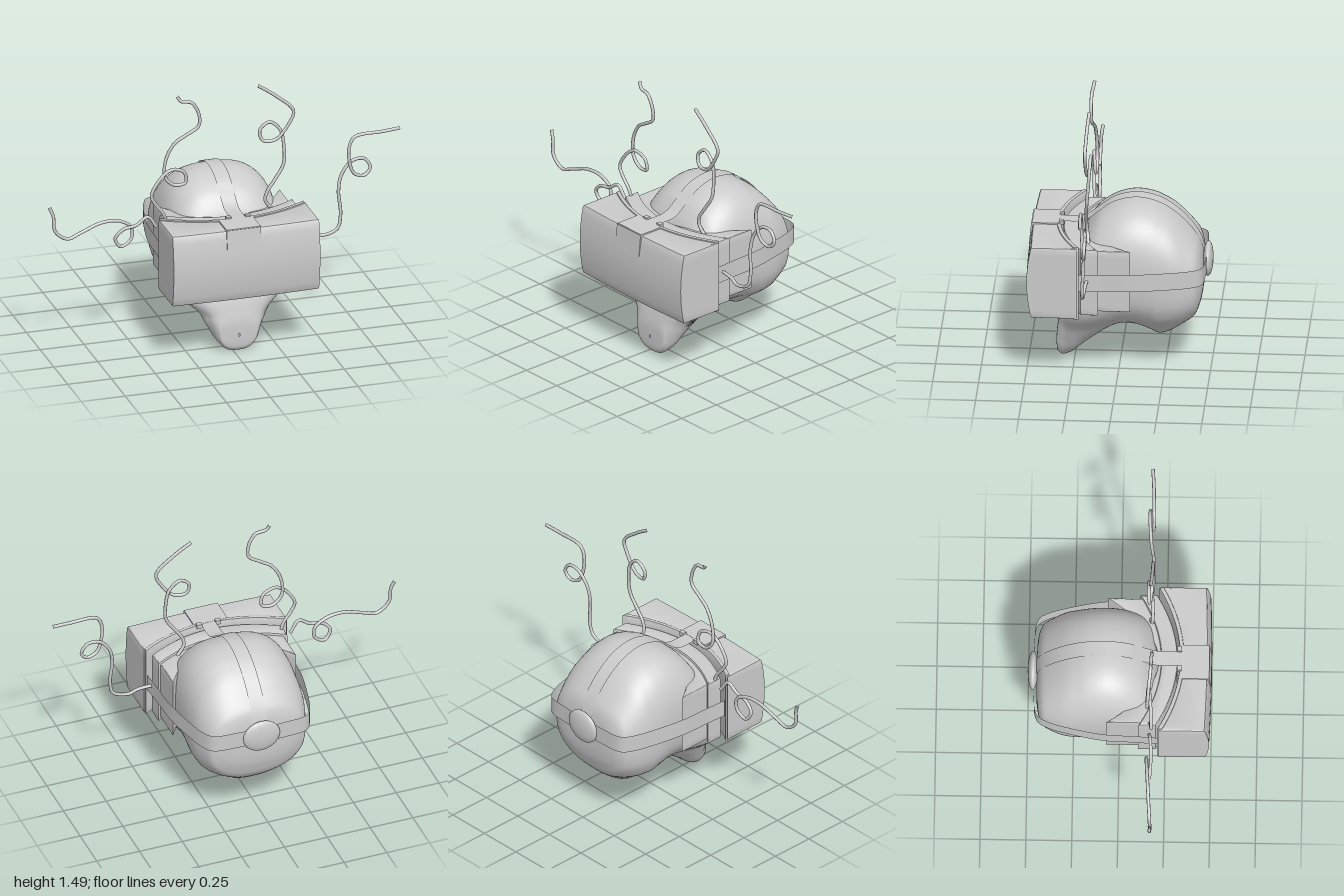
import * as THREE from 'three';
import { toCreasedNormals } from 'three/addons/utils/BufferGeometryUtils.js';

const CX = 0.027; // mid line of head and headset
const mat = new THREE.MeshStandardMaterial({ color: 0xcccccc });
const thin = new THREE.MeshStandardMaterial({ color: 0xcccccc, side: THREE.DoubleSide });

function add(group, name, geo, material = mat) {
  const m = new THREE.Mesh(geo, material);
  m.name = name;
  group.add(m);
  return m;
}

// piecewise linear lookup with eased steps
function lookup(table, v) {
  if (v <= table[0][0]) return table[0][1];
  for (let i = 1; i < table.length; i++) {
    const [a, fa] = table[i - 1], [b, fb] = table[i];
    if (v <= b) return THREE.MathUtils.lerp(fa, fb, THREE.MathUtils.smoothstep(v, a, b) * 0.5 + (v - a) / (b - a) * 0.5);
  }
  return table[table.length - 1][1];
}

// Head: sections along z, each [z, bottom, top, half width]
function headGeometry() {
  const st = [
    [-0.455, 0.5, 0.52, 0.005], [-0.45, 0.41, 0.6, 0.17], [-0.435, 0.34, 0.68, 0.24], [-0.4, 0.265, 0.74, 0.285],
    [-0.3, 0.18, 0.845, 0.32], [-0.22, 0.145, 0.897, 0.327], [-0.16, 0.17, 0.92, 0.328], [-0.08, 0.2, 0.93, 0.327],
    [0, 0.202, 0.915, 0.325], [0.08, 0.165, 0.875, 0.32], [0.14, 0.12, 0.82, 0.315], [0.2, 0.075, 0.71, 0.31],
    [0.26, 0.025, 0.45, 0.28], [0.31, 0, 0.32, 0.23], [0.335, 0.01, 0.23, 0.2], [0.347, 0.035, 0.17, 0.17],
    [0.35, 0.09, 0.11, 0.005],
  ];
  // the jaw and the base of the skull narrow towards the bottom
  const taper = [[0, 0.52], [0.1, 0.57], [0.2, 0.66], [0.3, 0.95], [0.38, 1]];
  const profile = new THREE.CatmullRomCurve3(st.map(s => new THREE.Vector3(s[0], s[1], s[2])), false, 'catmullrom', 0.5);
  const widths = new THREE.CatmullRomCurve3(st.map(s => new THREE.Vector3(s[3], 0, 0)), false, 'catmullrom', 0.4);
  const rings = 96, n = 64, pos = [], idx = [];
  const pw = (v, e) => Math.sign(v) * Math.abs(v) ** e;
  for (let i = 0; i <= rings; i++) {
    const p = profile.getPoint(i / rings), w = widths.getPoint(i / rings).x;
    const mid = (p.y + p.z) / 2, h = (p.z - p.y) / 2;
    for (let j = 0; j < n; j++) {
      const a = j / n * Math.PI * 2;
      const y = mid + h * pw(Math.sin(a), 0.85);
      pos.push(CX + w * lookup(taper, y) * pw(Math.cos(a), 0.7), y, p.x);
      if (i < rings) {
        const k = i * n + j, l = i * n + (j + 1) % n;
        idx.push(k, l, k + n, l, l + n, k + n);
      }
    }
  }
  const g = new THREE.BufferGeometry();
  g.setAttribute('position', new THREE.Float32BufferAttribute(pos, 3));
  g.setIndex(idx);
  g.computeVertexNormals();
  return g;
}

// Upright slab whose back (and front) edges bow forward in plan
function arcSlab(hw, backEdge, backMid, frontEdge, frontMid, y0, y1, bevel = 0.01, bulge = 0) {
  const s = new THREE.Shape();
  s.moveTo(-hw, -frontEdge);
  s.lineTo(-hw, -backEdge);
  s.quadraticCurveTo(0, -(2 * backMid - backEdge), hw, -backEdge);
  s.lineTo(hw, -frontEdge);
  s.quadraticCurveTo(0, -(2 * frontMid - frontEdge), -hw, -frontEdge);
  const g = new THREE.ExtrudeGeometry(s, {
    depth: y1 - y0 - 2 * bevel, steps: 10, curveSegments: 24,
    bevelThickness: bevel, bevelSize: bevel, bevelOffset: -bevel, bevelSegments: 2,
  });
  g.rotateX(-Math.PI / 2).translate(CX, y0 + bevel, 0);
  // the front face also bulges vertically
  const p = g.attributes.position, mid = (y0 + y1) / 2, h = (y1 - y0) / 2;
  for (let i = 0; i < p.count; i++) {
    if (p.getZ(i) > frontEdge - 0.04) p.setZ(i, p.getZ(i) - bulge * ((p.getY(i) - mid) / h) ** 2);
  }
  g.deleteAttribute('normal');
  return toCreasedNormals(g, 0.5);
}

// Flat ribbon along a path, widened by a fixed half-width vector
function ribbon(points, half) {
  const curve = new THREE.CatmullRomCurve3(points.map(p => new THREE.Vector3(...p)));
  const n = 80, pos = [], idx = [];
  curve.getSpacedPoints(n).forEach((p, i) => {
    const a = p.clone().sub(half), b = p.clone().add(half);
    pos.push(a.x, a.y, a.z, b.x, b.y, b.z);
    if (i < n) idx.push(2 * i, 2 * i + 2, 2 * i + 1, 2 * i + 1, 2 * i + 2, 2 * i + 3);
  });
  const g = new THREE.BufferGeometry();
  g.setAttribute('position', new THREE.Float32BufferAttribute(pos, 3));
  g.setIndex(idx);
  g.computeVertexNormals();
  return g;
}

export function createModel() {
  const model = new THREE.Group();
  model.name = 'headWithHeadset';

  add(model, 'head', headGeometry());
  const nose = add(model, 'nose', new THREE.SphereGeometry(1, 24, 16));
  nose.scale.set(0.055, 0.06, 0.05);
  nose.position.set(CX, 0.365, 0.25);

  // Headset: layered slabs from the face outwards
  const headset = new THREE.Group();
  headset.name = 'headset';
  model.add(headset);
  add(headset, 'faceCushion', arcSlab(0.36, -0.07, 0.21, 0.12, 0.25, 0.39, 0.745, 0.005));
  add(headset, 'innerFrame', arcSlab(0.378, 0.105, 0.225, 0.2, 0.315, 0.37, 0.76, 0.012));
  add(headset, 'rearRim', arcSlab(0.41, 0.208, 0.328, 0.235, 0.35, 0.358, 0.787, 0.006));
  add(headset, 'visorBody', arcSlab(0.418, 0.215, 0.335, 0.492, 0.502, 0.365, 0.78, 0.01, 0.025));

  // Bracket folded over the top front edge
  const top = add(headset, 'bracketTop', new THREE.BoxGeometry(0.195, 0.012, 0.15));
  top.position.set(0.01, 0.782, 0.408);
  const front = add(headset, 'bracketFront', new THREE.BoxGeometry(0.195, 0.125, 0.012));
  front.position.set(0.01, 0.722, 0.488);
  front.rotation.x = -0.1;

  // Straps
  const straps = new THREE.Group();
  straps.name = 'straps';
  model.add(straps);
  const side = [[0.4, 0.21], [0.392, 0.08], [0.385, -0.08], [0.352, -0.26], [0.315, -0.39], [0.275, -0.45], [0.13, -0.468]];
  const loop = [
    ...side.map(([x, z]) => [CX - x, 0.57, z]),
    [CX, 0.57, -0.47],
    ...side.slice().reverse().map(([x, z]) => [CX + x, 0.57, z]),
  ];
  add(straps, 'sideStrap', ribbon(loop, new THREE.Vector3(0, 0.05, 0)), thin);
  const over = [[0.34, 0.785], [0.2, 0.793], [0.12, 0.85], [0.04, 0.907], [-0.08, 0.937], [-0.2, 0.915],
    [-0.3, 0.855], [-0.38, 0.775], [-0.43, 0.7], [-0.463, 0.6]];
  add(straps, 'topStrap', ribbon(over.map(([z, y]) => [CX, y, z]), new THREE.Vector3(0.042, 0, 0)), thin);
  for (const s of [-1, 1]) {
    const clip = add(straps, 'strapClip', new THREE.BoxGeometry(0.03, 0.025, 0.025));
    clip.position.set(CX + s * 0.055, 0.785, 0.325);
  }
  const disc = add(straps, 'rearDisc', new THREE.SphereGeometry(1, 40, 20));
  disc.scale.set(0.107, 0.095, 0.028);
  disc.position.set(CX, 0.57, -0.474);

  // Loose curling cables, drawn in one upright plane
  const cables = {
    lowerRightCable: [[-1, 0.91], [-0.98, 0.86], [-0.97, 0.77], [-0.9, 0.715], [-0.82, 0.74], [-0.7, 0.78], [-0.6, 0.775],
      [-0.53, 0.73], [-0.53, 0.66], [-0.59, 0.625], [-0.625, 0.68], [-0.58, 0.73], [-0.51, 0.745], [-0.44, 0.785], [-0.39, 0.72]],
    upperRightCable: [[-0.27, 1.475], [-0.25, 1.445], [-0.19, 1.43], [-0.15, 1.36], [-0.15, 1.29], [-0.22, 1.24], [-0.28, 1.2],
      [-0.33, 1.11], [-0.335, 1], [-0.28, 0.945], [-0.22, 0.955], [-0.23, 1.02], [-0.3, 1.045], [-0.36, 1.01], [-0.42, 0.91],
      [-0.4, 0.86], [-0.35, 0.79], [-0.33, 0.72]],
    upperLeftCable: [[0.19, 1.48], [0.29, 1.41], [0.39, 1.31], [0.36, 1.23], [0.29, 1.15], [0.22, 1.15], [0.205, 1.21],
      [0.26, 1.25], [0.32, 1.2], [0.34, 1.1], [0.335, 1], [0.28, 0.91], [0.24, 0.85], [0.23, 0.8], [0.27, 0.74]],
    lowerLeftCable: [[1, 1.125], [0.9, 1.12], [0.74, 1.11], [0.71, 1.06], [0.71, 0.97], [0.74, 0.89], [0.8, 0.87],
      [0.835, 0.91], [0.8, 0.965], [0.73, 0.96], [0.67, 0.89], [0.65, 0.8], [0.66, 0.66], [0.64, 0.58], [0.55, 0.55],
      [0.5, 0.57], [0.4, 0.58]],
  };
  for (const [name, pts] of Object.entries(cables)) {
    // a slight depth wave keeps the loops from touching themselves
    const path = new THREE.CatmullRomCurve3(pts.map(([x, y], i) =>
      new THREE.Vector3(x, y, 0.165 + 0.012 * Math.sin(i / (pts.length - 1) * Math.PI * 3))));
    add(model, name, new THREE.TubeGeometry(path, 140, 0.0095, 8));
  }
  return model;
}
